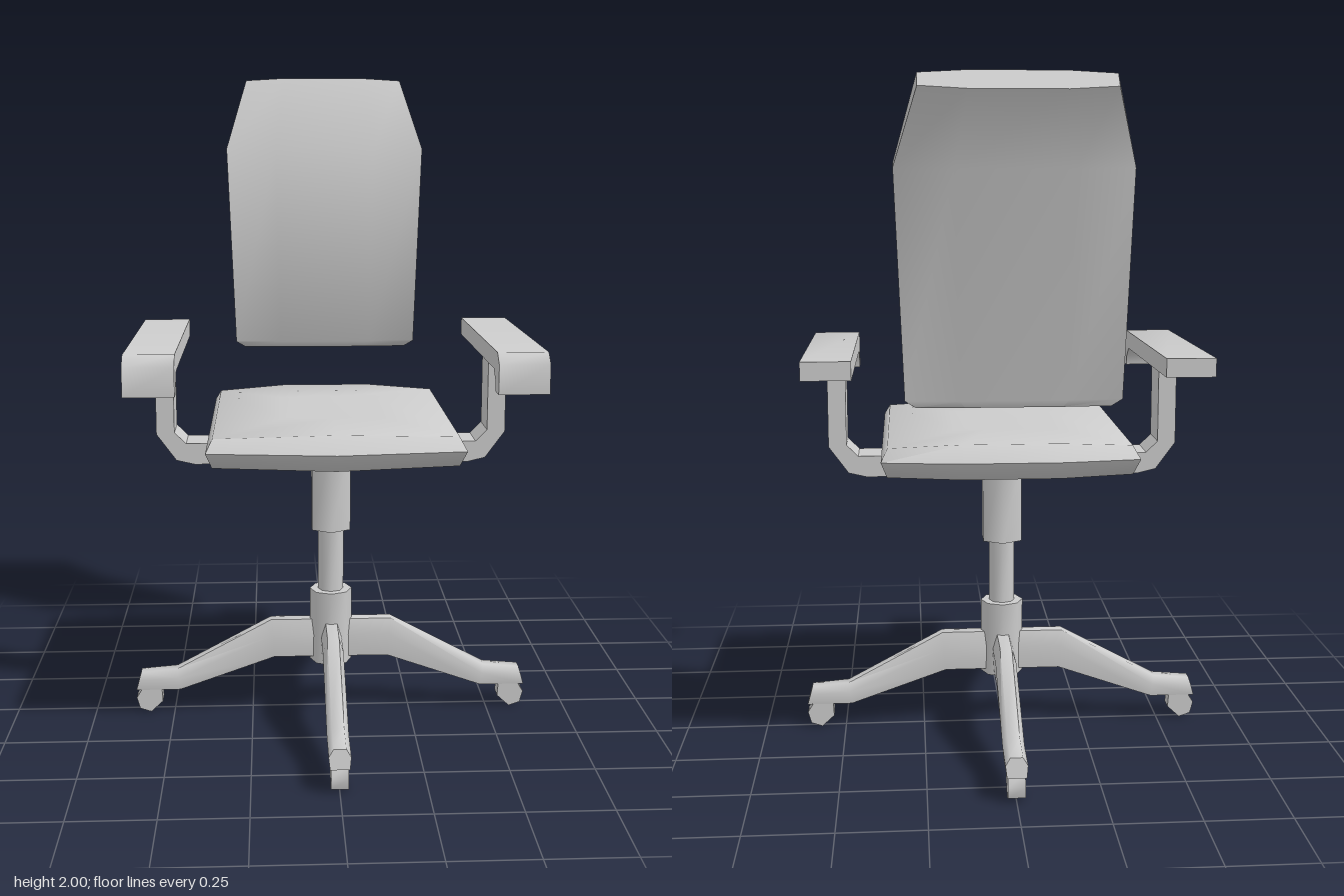
import * as THREE from 'three';
import { toCreasedNormals } from 'three/addons/utils/BufferGeometryUtils.js';

const grey = new THREE.MeshStandardMaterial({ color: 0xcccccc });

function part(name, geometry, parent) {
  const mesh = new THREE.Mesh(geometry, grey);
  mesh.name = name;
  parent.add(mesh);
  return mesh;
}

// Skin over rings of [x, y, z] points, counter-clockwise seen from the far end
function loft(rings, crease = 1.1) {
  const n = rings[0].length;
  const pos = rings.flat(2);
  const index = [];
  for (let i = 0; i < rings.length - 1; i++) {
    for (let j = 0; j < n; j++) {
      const a = i * n + j, b = i * n + (j + 1) % n;
      index.push(a, b, b + n, a, b + n, a + n);
    }
  }
  const cap = (row, flip) => {
    const centre = pos.length / 3, first = row * n;
    for (let k = 0; k < 3; k++) pos.push(rings[row].reduce((s, p) => s + p[k], 0) / n);
    for (let j = 0; j < n; j++) {
      const a = first + j, b = first + (j + 1) % n;
      index.push(centre, flip ? b : a, flip ? a : b);
    }
  };
  cap(0, true);
  cap(rings.length - 1, false);
  const g = new THREE.BufferGeometry();
  g.setAttribute('position', new THREE.Float32BufferAttribute(pos, 3));
  g.setIndex(index);
  return toCreasedNormals(g, crease);
}

// Flat outline extruded symmetrically about z = 0
function slab(points, depth, crease) {
  const shape = new THREE.Shape(points.map(p => new THREE.Vector2(...p)));
  const g = new THREE.ExtrudeGeometry(shape, { depth, bevelEnabled: false });
  g.translate(0, 0, -depth / 2);
  return toCreasedNormals(g, crease);
}

function tube(radius, y0, y1, sides) {
  const g = new THREE.CylinderGeometry(radius, radius, y1 - y0, sides);
  g.translate(0, (y0 + y1) / 2, 0);
  return toCreasedNormals(g, 1.2);
}

function seatGeometry() {
  const outline = [[0, 0.47], [0.37, 0.43], [0.37, -0.4], [0.15, -0.43],
    [-0.15, -0.43], [-0.37, -0.4], [-0.37, 0.43]];
  // y at the sides, rise at the middle, x scale, z scale
  const layers = [[0.885, -0.005, 0.4, 0.4], [0.885, -0.005, 0.955, 0.91],
    [0.935, 0, 1, 1], [0.968, 0.017, 0.95, 0.91], [0.968, 0.017, 0.4, 0.4]];
  return loft(layers.map(([y, rise, sx, sz]) => outline.map(([x, z]) =>
    [x * sx, y + rise * (1 - (x * sx / 0.37) ** 2), z * sz])));
}

function backrestGeometry() {
  // front y, front z, rear y, rear z, half width
  const rows = [[1.105, -0.44, 1.105, -0.49, 0.27], [1.125, -0.425, 1.125, -0.5, 0.3],
    [1.77, -0.44, 1.75, -0.513, 0.325], [2, -0.585, 1.95, -0.633, 0.26]];
  // x as a share of the half width, depth from front (0) to rear (1)
  const section = [[-0.5, 0], [0.5, 0], [1, 0.15], [1, 0.85],
    [0.5, 1], [-0.5, 1], [-1, 0.85], [-1, 0.15]];
  return loft(rows.map(([fy, fz, ry, rz, w]) => section.map(([sx, t]) =>
    [sx * w, fy + (ry - fy) * t, fz + (rz - fz) * t])));
}

function legGeometry() {
  // top reach, top y, bottom reach, bottom y
  const stations = [[0, 0.3, 0, 0.18], [0.19, 0.3, 0.18, 0.18],
    [0.49, 0.14, 0.48, 0.075], [0.605, 0.13, 0.62, 0.075]];
  // sideways offset, height share
  const section = [[0.028, 0], [0.032, 0.6], [0.018, 1], [-0.018, 1], [-0.032, 0.6], [-0.028, 0]];
  return loft(stations.map(([tr, ty, br, by]) => section.map(([s, t]) =>
    [br + (tr - br) * t, by + (ty - by) * t, -s])), 1.2);
}

export function createModel() {
  const chair = new THREE.Group();
  chair.name = 'officeChair';

  part('seat', seatGeometry(), chair);
  part('backrest', backrestGeometry(), chair);

  // Central column
  const column = new THREE.Group();
  column.name = 'column';
  column.position.z = 0.015;
  chair.add(column);
  part('hub', tube(0.066, 0.165, 0.4, 8), column);
  part('piston', tube(0.04, 0.38, 0.62, 8), column);
  part('columnSleeve', tube(0.069, 0.6, 0.87, 6), column);

  // Four legs with casters
  const base = new THREE.Group();
  base.name = 'base';
  base.position.z = 0.01;
  chair.add(base);
  const leg = legGeometry();
  const caster = slab([[0.54, 0.08], [0.537, 0.035], [0.575, 0], [0.61, 0.012],
    [0.62, 0.048], [0.6, 0.08]], 0.05, 0.9);
  for (let i = 0; i < 4; i++) {
    const arm = new THREE.Group();
    arm.name = 'baseArm';
    arm.rotation.y = i * Math.PI / 2;
    base.add(arm);
    part('leg', leg, arm);
    part('caster', caster, arm);
  }

  // U-shaped bracket carrying both armrests
  const half = [[0.42, 0.82], [0.475, 0.833], [0.535, 0.915], [0.535, 1.17],
    [0.48, 1.17], [0.48, 0.92], [0.445, 0.885]];
  const mirrored = half.map(([x, y]) => [-x, y]).reverse();
  part('armBracket', slab([...half, ...mirrored], 0.125, 0.5), chair).position.z = 0.008;

  // Armrest pads with a drooping front end
  const pad = slab([[-0.335, 1.16], [0.35, 1.16], [0.385, 1.13], [0.39, 1.1], [0.445, 1.1],
    [0.445, 1.185], [0.41, 1.215], [-0.335, 1.215]], 0.145, 1.0);
  pad.rotateY(-Math.PI / 2);
  for (const side of [1, -1]) {
    part(side > 0 ? 'leftArmrest' : 'rightArmrest', pad, chair).position.x = side * 0.523;
  }
  return chair;
}
